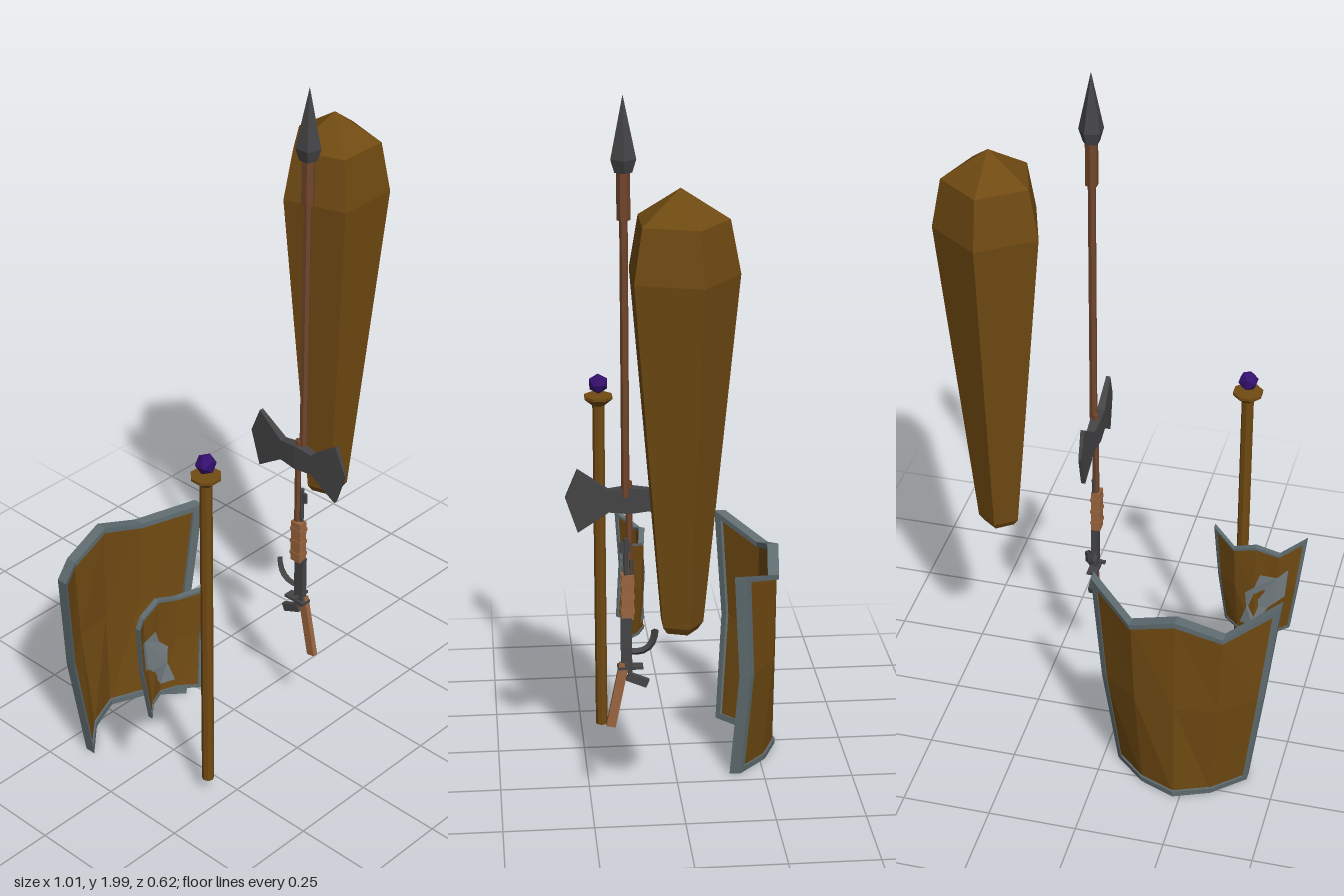
import * as THREE from 'three';

const mat = (color) => new THREE.MeshStandardMaterial({ color, flatShading: true, side: THREE.DoubleSide });
const WOOD = mat(0x704a12), SHAFT = mat(0x70452c), LIGHT = mat(0x99643e);
const STEEL = mat(0x5f6c70), IRON = mat(0x444446), PATCH = mat(0x767f84), GEM = mat(0x34106e);

function add(parent, name, geometry, material, x = 0, y = 0, z = 0) {
  const m = new THREE.Mesh(geometry, material);
  m.name = name;
  m.position.set(x, y, z);
  parent.add(m);
  return m;
}
const group = (parent, name) => {
  const g = new THREE.Group();
  g.name = name;
  parent.add(g);
  return g;
};
const lathe = (pts, sides, turn = 0) =>
  new THREE.LatheGeometry(pts.map(([r, y]) => new THREE.Vector2(r, y)), sides, turn);
const rod = (r0, r1, y0, y1, sides) =>
  new THREE.CylinderGeometry(r1, r0, y1 - y0, sides).translate(0, (y0 + y1) / 2, 0);

// Shield surface: three rows (bottom to top), each folded at the ridge and half way out
const ROWS = [
  { w: [0, 0.1, 0.188], y: [0.01, 0.01, 0.01], z: [-0.291, -0.25, -0.169] },
  { w: [0, 0.12, 0.23], y: [0.33, 0.33, 0.33], z: [-0.296, -0.275, -0.19] },
  { w: [0, 0.13, 0.265], y: [0.637, 0.593, 0.645], z: [-0.294, -0.28, -0.171] },
];
function surface(u, v, dz = 0) {
  const a = Math.abs(u) * 2, i = Math.min(Math.floor(a), 1), s = a - i;
  const r = Math.min(Math.floor(v + 1), 1), t = v + 1 - r;
  const at = (k) => {
    const row = (q) => q[k][i] + (q[k][i + 1] - q[k][i]) * s;
    return row(ROWS[r]) * (1 - t) + row(ROWS[r + 1]) * t;
  };
  return [Math.sign(u) * at('w'), at('y'), at('z') + dz];
}

function sheet(dz) {
  const g = new THREE.PlaneGeometry(2, 2, 4, 2), p = g.attributes.position;
  for (let i = 0; i < p.count; i++) p.setXYZ(i, ...surface(p.getX(i) * 0.98, p.getY(i) * 0.98, dz));
  g.computeVertexNormals();
  return g;
}

// Rectangular section carried round the border of the shield
function rimGeometry() {
  const loop = [];
  for (let i = 0; i < 4; i++) loop.push([-1 + i / 2, -1]);
  for (let i = 0; i < 2; i++) loop.push([1, -1 + i]);
  for (let i = 0; i < 4; i++) loop.push([1 - i / 2, 1]);
  for (let i = 0; i < 2; i++) loop.push([-1, 1 - i]);
  const pos = [], idx = [], d = 0.016, n = loop.length;
  for (const [u, v] of loop) {
    const iu = Math.abs(u) === 1 ? u * 0.93 : u, iv = Math.abs(v) === 1 ? v * 0.945 : v;
    pos.push(...surface(u, v, -d), ...surface(u, v, d), ...surface(iu, iv, d), ...surface(iu, iv, -d));
  }
  for (let i = 0; i < n; i++) {
    for (let k = 0; k < 4; k++) {
      const a = i * 4 + k, b = i * 4 + (k + 1) % 4;
      const c = ((i + 1) % n) * 4 + k, e = ((i + 1) % n) * 4 + (k + 1) % 4;
      idx.push(a, c, b, b, c, e);
    }
  }
  const g = new THREE.BufferGeometry();
  g.setAttribute('position', new THREE.Float32BufferAttribute(pos, 3));
  g.setIndex(idx);
  g.computeVertexNormals();
  return g;
}

function shield(parent, name) {
  const g = group(parent, name);
  add(g, 'frontPanel', sheet(0.009), WOOD);
  add(g, 'backPanel', sheet(-0.009), WOOD);
  add(g, 'rim', rimGeometry(), STEEL);
  return g;
}

// Irregular metal repair plate laid on the shield surface
function patchGeometry(dz) {
  const outline = [[-0.72, 0.5], [-0.5, 0.4], [-0.12, 0.4], [0, 0.1], [0.23, -0.08], [0.2, -0.4],
    [0.4, -0.8], [0, -0.8], [-0.1, -0.7], [-0.35, -0.35], [-0.5, -0.25], [-0.72, -0.15]];
  const g = new THREE.ShapeGeometry(new THREE.Shape(outline.map(([u, v]) => new THREE.Vector2(u, v))));
  const p = g.attributes.position;
  for (let i = 0; i < p.count; i++) p.setXYZ(i, ...surface(p.getX(i), p.getY(i), dz));
  g.computeVertexNormals();
  return g;
}

export function createModel() {
  const model = new THREE.Group();

  // Five-sided club, one corner to the back
  add(model, 'club', lathe([[0, 0.635], [0.046, 0.635], [0.06, 0.655], [0.152, 1.59], [0.125, 1.73], [0, 1.812]],
    5, Math.PI), WOOD, 0.356, 0, 0.025);

  // Staff with flared cup and gem
  const staff = group(model, 'staff');
  staff.position.set(-0.31, 0, 0.195);
  add(staff, 'staffPole', rod(0.017, 0.017, 0.06, 1.05, 8), WOOD);
  add(staff, 'staffCup', lathe([[0.016, 1.04], [0.042, 1.062], [0.042, 1.07], [0, 1.07]], 8, Math.PI / 8), WOOD);
  add(staff, 'staffGem', new THREE.IcosahedronGeometry(0.029, 0), GEM, 0, 1.104, 0);

  // Spear
  const spear = group(model, 'spear');
  spear.position.set(0.115, 0, 0.15);
  add(spear, 'spearShaft', rod(0.011, 0.011, 0.92, 1.75, 6), SHAFT);
  add(spear, 'spearSocket', rod(0.018, 0.018, 1.675, 1.81, 6), SHAFT);
  add(spear, 'spearHead', lathe([[0, 1.8], [0.024, 1.8], [0.035, 1.835], [0, 2]], 5, Math.PI / 2), IRON);

  // Double-bladed axe, blades thinning towards the cutting edge
  const axe = group(model, 'axe');
  axe.position.set(0.106, 0, 0.14);
  add(axe, 'axeHandle', rod(0.009, 0.009, 0.6, 0.96, 6), SHAFT);
  for (const side of [1, -1]) {
    const outline = [[0, 0.945], [0.055, 0.938], [0.138, 0.998], [0.171, 0.92], [0.138, 0.82], [0.055, 0.877], [0, 0.872]];
    const blade = new THREE.ExtrudeGeometry(
      new THREE.Shape(outline.map(([a, y]) => new THREE.Vector2(a, y))), { depth: 1, bevelEnabled: false });
    const p = blade.attributes.position;
    for (let i = 0; i < p.count; i++) {
      const a = p.getX(i);
      p.setXYZ(i, (p.getZ(i) - 0.5) * (0.03 - a * 0.13), p.getY(i), a * side);
    }
    blade.computeVertexNormals();
    add(axe, 'axeBlade', blade, IRON);
  }

  // Long gun standing muzzle up
  const gun = group(model, 'longGun');
  gun.position.set(0.112, 0, 0.15);
  add(gun, 'barrel', rod(0.007, 0.007, 0.5, 0.8, 6), IRON);
  add(gun, 'frontSight', new THREE.BoxGeometry(0.008, 0.03, 0.03), IRON, 0, 0.775, 0.003);
  add(gun, 'gasTube', rod(0.006, 0.006, 0.56, 0.74, 6), IRON, 0, 0, -0.014);
  add(gun, 'handguard', new THREE.BoxGeometry(0.026, 0.13, 0.034), LIGHT, -0.006, 0.63, -0.004);
  for (let i = 0; i < 3; i++)
    add(gun, 'handguardRib', new THREE.BoxGeometry(0.03, 0.01, 0.038), LIGHT, -0.006, 0.59 + i * 0.04, -0.004);
  add(gun, 'receiver', new THREE.BoxGeometry(0.018, 0.16, 0.03), IRON, 0, 0.49, 0);
  add(gun, 'bolt', new THREE.BoxGeometry(0.058, 0.008, 0.01), IRON, 0, 0.44, 0);
  add(gun, 'boltPlate', new THREE.BoxGeometry(0.03, 0.008, 0.07), IRON, 0, 0.425, -0.01);
  const arc = new THREE.QuadraticBezierCurve3(
    new THREE.Vector3(0, 0.47, -0.01), new THREE.Vector3(0, 0.46, -0.075), new THREE.Vector3(0, 0.53, -0.078));
  add(gun, 'curvedMagazine', new THREE.TubeGeometry(arc, 6, 0.01, 4), IRON);
  add(gun, 'pistolGrip', new THREE.BoxGeometry(0.014, 0.024, 0.06), IRON, 0, 0.385, -0.03).rotation.x = -0.4;
  const stock = new THREE.BoxGeometry(0.015, 0.19, 0.026);
  add(gun, 'stock', stock, LIGHT, 0.006, 0.345, 0.026).rotation.x = -0.2;

  // Large shield, and a half-size patched one
  shield(model, 'largeShield').position.set(-0.23, 0, 0);
  const small = shield(model, 'smallShield');
  small.scale.setScalar(0.5);
  small.position.set(-0.373, 0.325, 0.217);
  for (const dz of [0.013, -0.016]) add(small, 'metalPatch', patchGeometry(dz), PATCH);

  return model;
}
